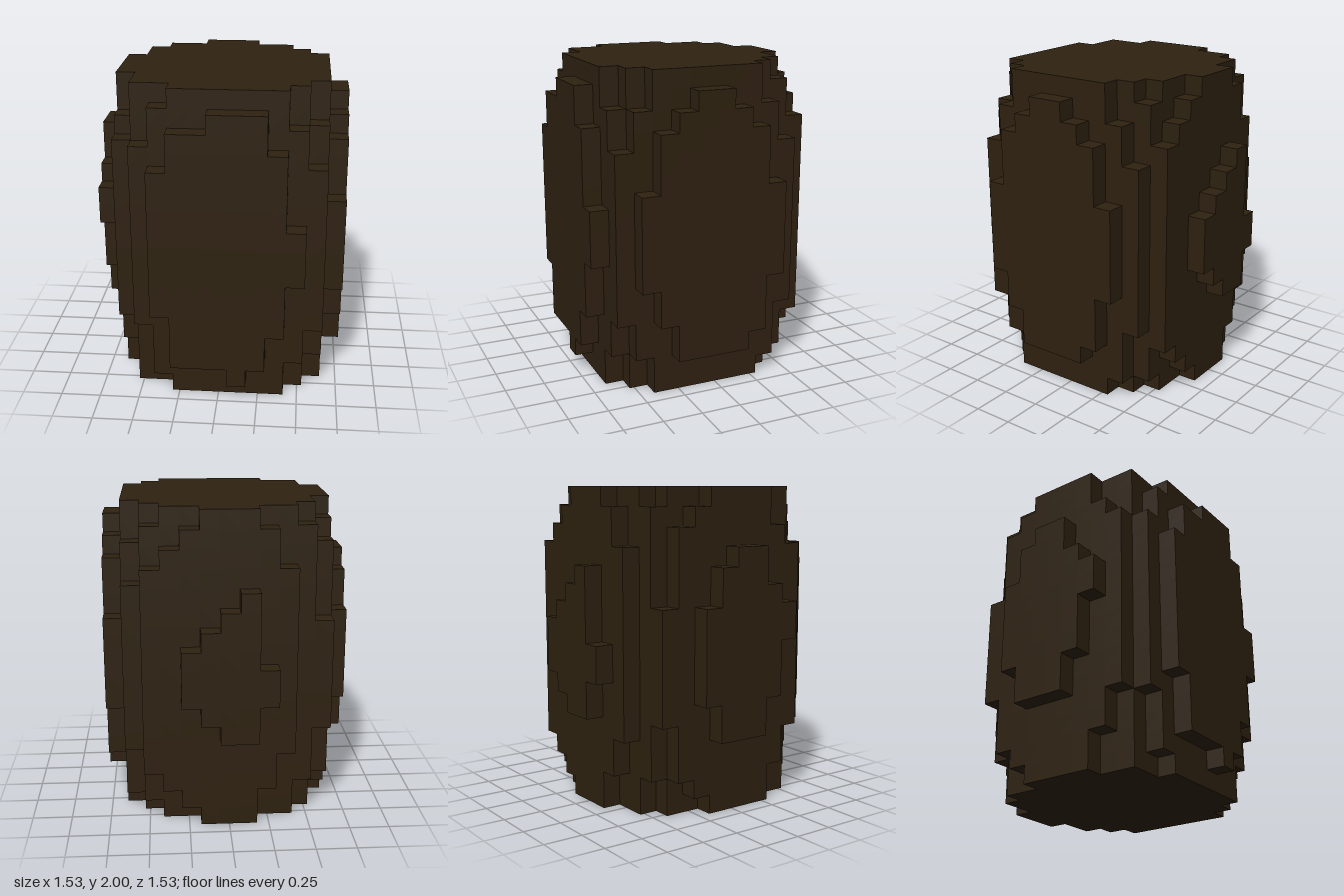
import * as THREE from 'three';

const U = 2 / 17; // edge of one block
const HEIGHT = 17;

// Full-height core: [first x, last x] for each z row from 1 to 11
const coreRows = [
  [5, 7], [3, 9], [2, 10], [2, 11], [1, 11], [1, 11],
  [1, 11], [1, 11], [2, 11], [2, 10], [4, 9],
];

// Shorter columns rounding the rim: x, z, bottom, top
const rimColumns = [
  [3, 1, 4, 14], [4, 1, 2, 16], [8, 1, 1, 16], [9, 1, 2, 15], [10, 1, 3, 14],
  [1, 2, 5, 11], [2, 2, 2, 16], [10, 2, 1, 16], [11, 2, 4, 13],
  [1, 3, 2, 15], [11, 3, 1, 15], [1, 4, 1, 16],
  [1, 9, 2, 15], [1, 10, 4, 14], [11, 10, 2, 15],
  [2, 11, 4, 14], [3, 11, 1, 16], [10, 11, 2, 15], [11, 11, 4, 13],
];

// Bulging panels, one block deep: [bottom, top] per column from a start index
const frontPanel = [[5, 13], [2, 15], [2, 15], [2, 16], [1, 16], [2, 16], [4, 14], [7, 10]];
const leftPanel = [[6, 11], [3, 14], [2, 15], [2, 16], [2, 16], [2, 15], [4, 14], [6, 11]];
const backPanel = [[7, 9], [5, 13], [5, 12], [6, 11], [7, 10]];
const rightPanel = [[6, 11], [4, 13], [4, 14], [4, 14], [6, 12], [9, 11]];

const alongX = (panel, start, z) => panel.map(([lo, hi], i) => [start + i, z, lo, hi]);
const alongZ = (panel, start, x) => panel.map(([lo, hi], i) => [x, start + i, lo, hi]);

// The six sides of a block: outward normal and two edge directions (u x v = normal)
const sides = [
  [[1, 0, 0], [0, 1, 0], [0, 0, 1]], [[-1, 0, 0], [0, 0, 1], [0, 1, 0]],
  [[0, 1, 0], [0, 0, 1], [1, 0, 0]], [[0, -1, 0], [1, 0, 0], [0, 0, 1]],
  [[0, 0, 1], [1, 0, 0], [0, 1, 0]], [[0, 0, -1], [0, 1, 0], [1, 0, 0]],
];

// Only the faces not covered by a neighbouring block
function blockGeometry(columns, isSolid) {
  const positions = [];
  const normals = [];
  for (const [x, z, lo, hi] of columns) {
    for (let y = lo; y < hi; y++) {
      for (const [n, u, v] of sides) {
        if (isSolid(x + n[0], y + n[1], z + n[2])) continue;
        const centre = [x - 6, y + 0.5, z - 6];
        for (const [a, b] of [[-1, -1], [1, -1], [1, 1], [-1, -1], [1, 1], [-1, 1]]) {
          for (let k = 0; k < 3; k++) {
            positions.push((centre[k] + (n[k] + a * u[k] + b * v[k]) / 2) * U);
          }
          normals.push(...n);
        }
      }
    }
  }
  const geometry = new THREE.BufferGeometry();
  geometry.setAttribute('position', new THREE.Float32BufferAttribute(positions, 3));
  geometry.setAttribute('normal', new THREE.Float32BufferAttribute(normals, 3));
  return geometry;
}

export function createModel() {
  const group = new THREE.Group();
  group.name = 'blockBarrel';

  const darkBrown = new THREE.MeshStandardMaterial({ color: 0x2e2110 });
  darkBrown.name = 'darkBrown';

  const core = coreRows.flatMap(([first, last], row) =>
    Array.from({ length: last - first + 1 }, (_, i) => [first + i, row + 1, 0, HEIGHT]));

  const parts = {
    core,
    rim: rimColumns,
    frontPanel: alongX(frontPanel, 3, 12),
    backPanel: alongX(backPanel, 4, 0),
    leftPanel: alongZ(leftPanel, 3, 12),
    rightPanel: alongZ(rightPanel, 4, 0),
  };

  // Look up the vertical extent of every column
  const extent = new Map();
  for (const [x, z, lo, hi] of Object.values(parts).flat()) extent.set(`${x},${z}`, [lo, hi]);
  const isSolid = (x, y, z) => {
    const range = extent.get(`${x},${z}`);
    return range !== undefined && y >= range[0] && y < range[1];
  };

  for (const [name, columns] of Object.entries(parts)) {
    const mesh = new THREE.Mesh(blockGeometry(columns, isSolid), darkBrown);
    mesh.name = name;
    group.add(mesh);
  }
  return group;
}
